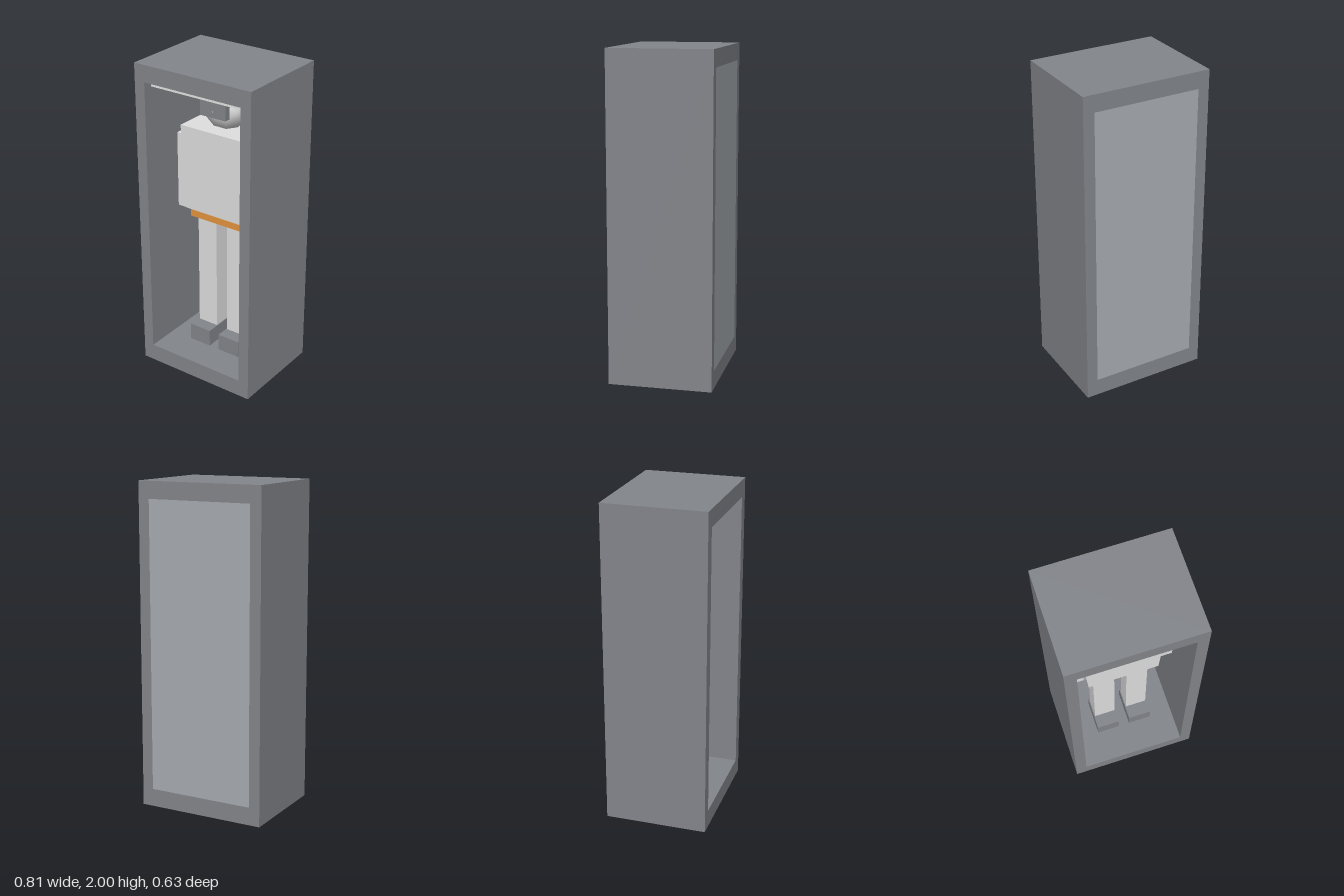
import * as THREE from 'three';

const material = (name, color) => {
  const m = new THREE.MeshStandardMaterial({ color });
  m.name = name;
  return m;
};

export function createModel() {
  const model = new THREE.Group();
  model.name = 'suitLocker';

  const darkGrey = material('dark grey', 0x83868b);
  const panelGrey = material('panel grey', 0xa8acb2);
  const suitWhite = material('suit white', 0xe0e0e0);
  const beltOrange = material('belt orange', 0xe6963f);
  const lampWhite = material('lamp white', 0xe8e8e8);

  const add = (name, geometry, mat) => {
    const mesh = new THREE.Mesh(geometry, mat);
    mesh.name = name;
    model.add(mesh);
    return mesh;
  };

  // Box given by its limits on each axis
  const box = (name, mat, [x0, x1], [y0, y1], [z0, z1]) => {
    const g = new THREE.BoxGeometry(x1 - x0, y1 - y0, z1 - z0);
    g.translate((x0 + x1) / 2, (y0 + y1) / 2, (z0 + z1) / 2);
    return add(name, g, mat);
  };

  // Locker: a rectangular frame extruded from back to front
  const outline = new THREE.Shape([
    new THREE.Vector2(-0.405, 0), new THREE.Vector2(0.405, 0),
    new THREE.Vector2(0.405, 2), new THREE.Vector2(-0.405, 2),
  ]);
  outline.holes.push(new THREE.Path([
    new THREE.Vector2(-0.335, 0.11), new THREE.Vector2(-0.335, 1.895),
    new THREE.Vector2(0.335, 1.895), new THREE.Vector2(0.335, 0.11),
  ]));
  const frame = new THREE.ExtrudeGeometry(outline, { depth: 0.63, bevelEnabled: false });
  frame.translate(0, 0, -0.315);
  add('lockerFrame', frame, darkGrey);
  box('backPanel', panelGrey, [-0.335, 0.335], [0.11, 1.895], [-0.315, -0.28]);
  box('lightStrip', lampWhite, [-0.315, 0.315], [1.865, 1.895], [0.25, 0.28]);

  // Torso: a box narrowed toward the waist
  const torso = new THREE.BoxGeometry(0.51, 0.54, 0.24);
  const p = torso.attributes.position;
  for (let i = 0; i < p.count; i++) {
    if (p.getY(i) < 0) p.setX(i, p.getX(i) * 0.87);
  }
  torso.computeVertexNormals();
  torso.translate(0, 1.31, -0.03);
  add('torso', torso, suitWhite);
  box('belt', beltOrange, [-0.205, 0.205], [0.98, 1.04], [-0.125, 0.065]);

  // Arms, legs and boots, mirrored
  for (const [side, s] of [['left', 1], ['right', -1]]) {
    const span = (a, b) => (s > 0 ? [a, b] : [-b, -a]);
    box(side + 'Arm', suitWhite, span(0.235, 0.335), [1.0, 1.49], [-0.08, 0.022]);
    box(side + 'Leg', suitWhite, span(0.04, 0.178), [0.2, 1.0], [-0.085, 0.025]);
    box(side + 'Boot', darkGrey, span(0.035, 0.185), [0.11, 0.22], [-0.11, 0.11]);
  }

  // Faceted helmet with a box visor
  const helmet = add('helmet', new THREE.IcosahedronGeometry(0.145, 1), suitWhite);
  helmet.position.set(0, 1.727, -0.03);
  box('visor', darkGrey, [-0.09, 0.09], [1.69, 1.8], [0.03, 0.114]);

  return model;
}
